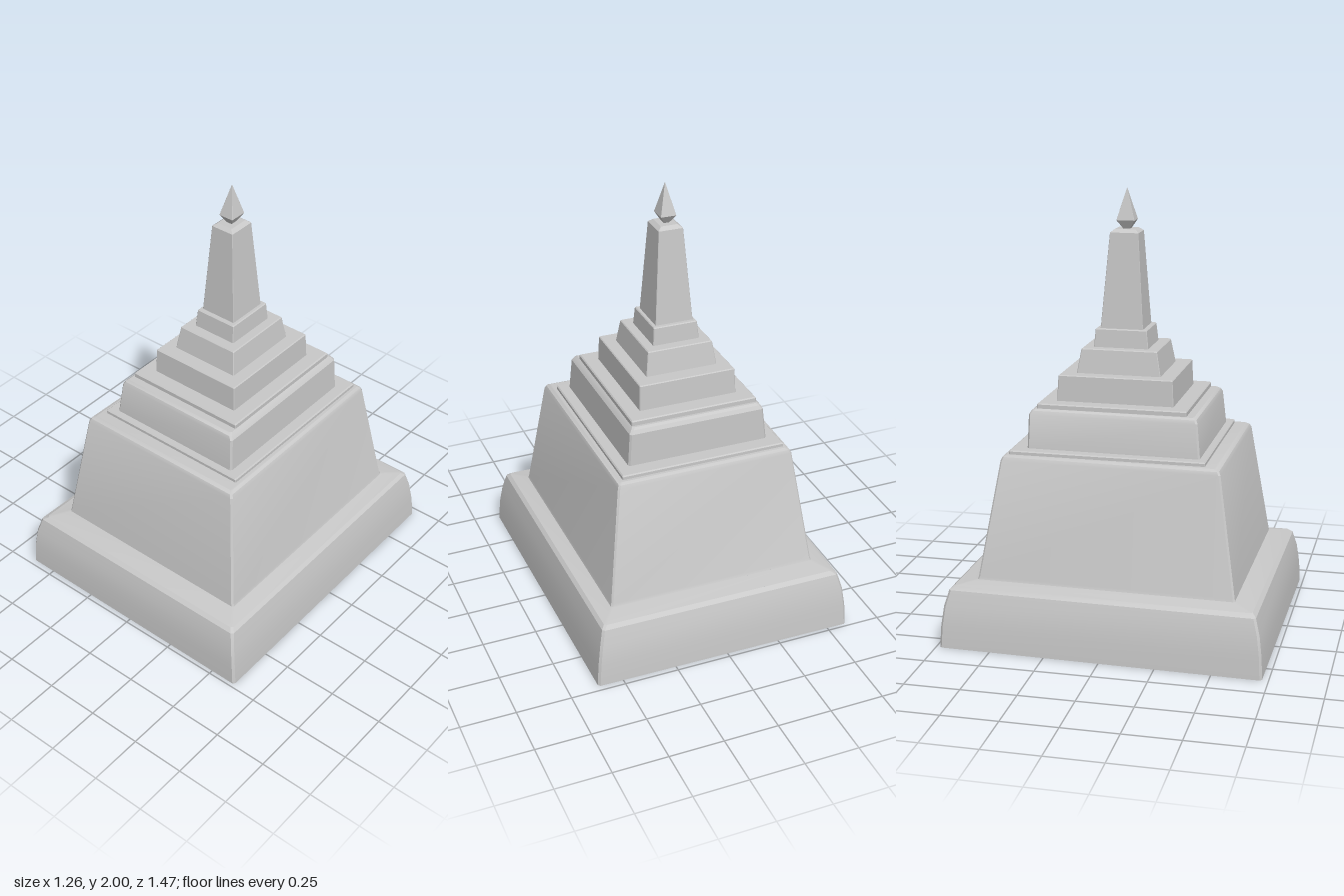
import * as THREE from 'three';
import { toCreasedNormals } from 'three/addons/utils/BufferGeometryUtils.js';

const stone = new THREE.MeshStandardMaterial({ color: 0xc8c8c8, side: THREE.DoubleSide });
stone.name = 'grey stone';

// One slightly crooked rectangular ring with chamfered corners.
// Row: [y, x min, x max, z min, z max]
function ring([y, x0, x1, z0, z1], skew, chamfer) {
  const hx = (x1 - x0) / 2, hz = (z1 - z0) / 2;
  const cx = (x0 + x1) / 2, cz = (z0 + z1) / 2;
  const c = Math.min(chamfer, hx * 0.15, hz * 0.15);
  const corners = [[1, 1], [1, -1], [-1, -1], [-1, 1]];
  const points = [];
  corners.forEach(([sx, sz], i) => {
    const along = [sx * hx, sz * (hz - c)], across = [sx * (hx - c), sz * hz];
    for (const [px, pz] of i % 2 ? [along, across] : [across, along]) {
      // the back edge is a little shorter, mostly on the -x side
      const back = (1 - pz / hz) / 2;
      const x = px * (1 - skew * back * (px < 0 ? 1 : 0.35));
      points.push([cx + x, y, cz + pz + 0.009 * px]);
    }
  });
  return points;
}

// Skin a stack of rings; the last ring may be closed by a flat cap
function loft(name, rows, { skew = 0, chamfer = 0.01, cap = false } = {}) {
  const rings = rows.map((row) => ring(row, skew, chamfer));
  const n = 8, pos = [], index = [];
  rings.forEach((r) => r.forEach((p) => pos.push(...p)));
  for (let j = 0; j < rings.length - 1; j++) {
    for (let i = 0; i < n; i++) {
      const a = j * n + i, b = j * n + (i + 1) % n;
      index.push(a, b, b + n, a, b + n, a + n);
    }
  }
  if (cap) {
    const s = (rings.length - 1) * n;
    for (let i = 1; i < n - 1; i++) index.push(s, s + i, s + i + 1);
  }
  const geo = new THREE.BufferGeometry();
  geo.setAttribute('position', new THREE.Float32BufferAttribute(pos, 3));
  geo.setIndex(index);
  const mesh = new THREE.Mesh(toCreasedNormals(geo, 0.4), stone);
  mesh.name = name;
  return mesh;
}

export function createModel() {
  const model = new THREE.Group();
  model.name = 'steppedMonument';

  // Hollow plinth with curved sides
  model.add(loft('plinth', [
    [0, -0.63, 0.628, -0.728, 0.727],
    [0.1, -0.624, 0.62, -0.722, 0.722],
    [0.19, -0.612, 0.606, -0.71, 0.71],
    [0.262, -0.592, 0.588, -0.69, 0.69],
    [0.277, -0.568, 0.572, -0.672, 0.672],
  ], { skew: 0.055, chamfer: 0.01 }));

  // Sloping shoulder between plinth and body
  model.add(loft('shoulder', [
    [0.277, -0.568, 0.572, -0.672, 0.672],
    [0.293, -0.501, 0.505, -0.584, 0.584],
  ], { skew: 0.05, chamfer: 0.01 }));

  // Large tapering body
  model.add(loft('body', [
    [0.293, -0.501, 0.505, -0.584, 0.584],
    [0.305, -0.497, 0.501, -0.579, 0.582],
    [0.83, -0.421, 0.427, -0.49, 0.499],
    [0.845, -0.413, 0.42, -0.483, 0.491],
    [0.853, -0.396, 0.407, -0.47, 0.474],
  ], { skew: 0.045, chamfer: 0.008, cap: true }));

  // Core of the upper tier, reaching down inside the hollow body and closed below
  model.add(loft('innerCore', [
    [0.85, -0.334, 0.338, -0.39, 0.394],
    [0.425, -0.375, 0.376, -0.41, 0.44],
  ], { skew: 0.025, chamfer: 0.008, cap: true }));

  // Thin ledge and sloping tier above the body
  model.add(loft('lowerLedge', [
    [0.85, -0.375, 0.388, -0.457, 0.423],
    [0.866, -0.375, 0.388, -0.457, 0.423],
    [0.871, -0.37, 0.383, -0.452, 0.418],
  ], { chamfer: 0.003, cap: true }));
  model.add(loft('slopingTier', [
    [0.87, -0.331, 0.337, -0.389, 0.392],
    [1.022, -0.313, 0.327, -0.386, 0.376],
    [1.038, -0.304, 0.315, -0.376, 0.369],
    [1.046, -0.292, 0.305, -0.364, 0.356],
  ], { skew: 0.025, chamfer: 0.008, cap: true }));
  model.add(loft('upperLedge', [
    [1.045, -0.284, 0.304, -0.353, 0.322],
    [1.064, -0.284, 0.304, -0.353, 0.322],
    [1.069, -0.279, 0.299, -0.348, 0.317],
  ], { chamfer: 0.003, cap: true }));

  // Three steps leading up to the spire: [y0, y1, lower extents, upper extents]
  const steps = [
    [1.068, 1.187, [-0.218, 0.238, -0.279, 0.251], [-0.214, 0.234, -0.273, 0.245]],
    [1.185, 1.297, [-0.157, 0.176, -0.204, 0.179], [-0.142, 0.161, -0.186, 0.159]],
    [1.295, 1.38, [-0.099, 0.118, -0.139, 0.11], [-0.092, 0.112, -0.133, 0.101]],
  ];
  steps.forEach(([y0, y1, low, high], i) => {
    model.add(loft('step' + (i + 1), [
      [y0, ...low],
      [y1 - 0.004, ...high],
      [y1, ...high.map((v) => v - Math.sign(v) * 0.004)],
    ], { chamfer: 0.003, cap: true }));
  });

  // Tapering spire with a low sloped top
  model.add(loft('spire', [
    [1.378, -0.079, 0.096, -0.113, 0.081],
    [1.806, -0.047, 0.066, -0.077, 0.052],
    [1.82, -0.029, 0.048, -0.058, 0.034],
  ], { chamfer: 0.002, cap: true }));

  // Pointed four-sided finial
  model.add(loft('finial', [
    [1.818, -0.002, 0.022, -0.026, 0.004],
    [1.858, -0.025, 0.046, -0.053, 0.029],
    [2, 0.0105, 0.0115, -0.0125, -0.0115],
  ], { chamfer: 0.001, cap: true }));

  return model;
}
